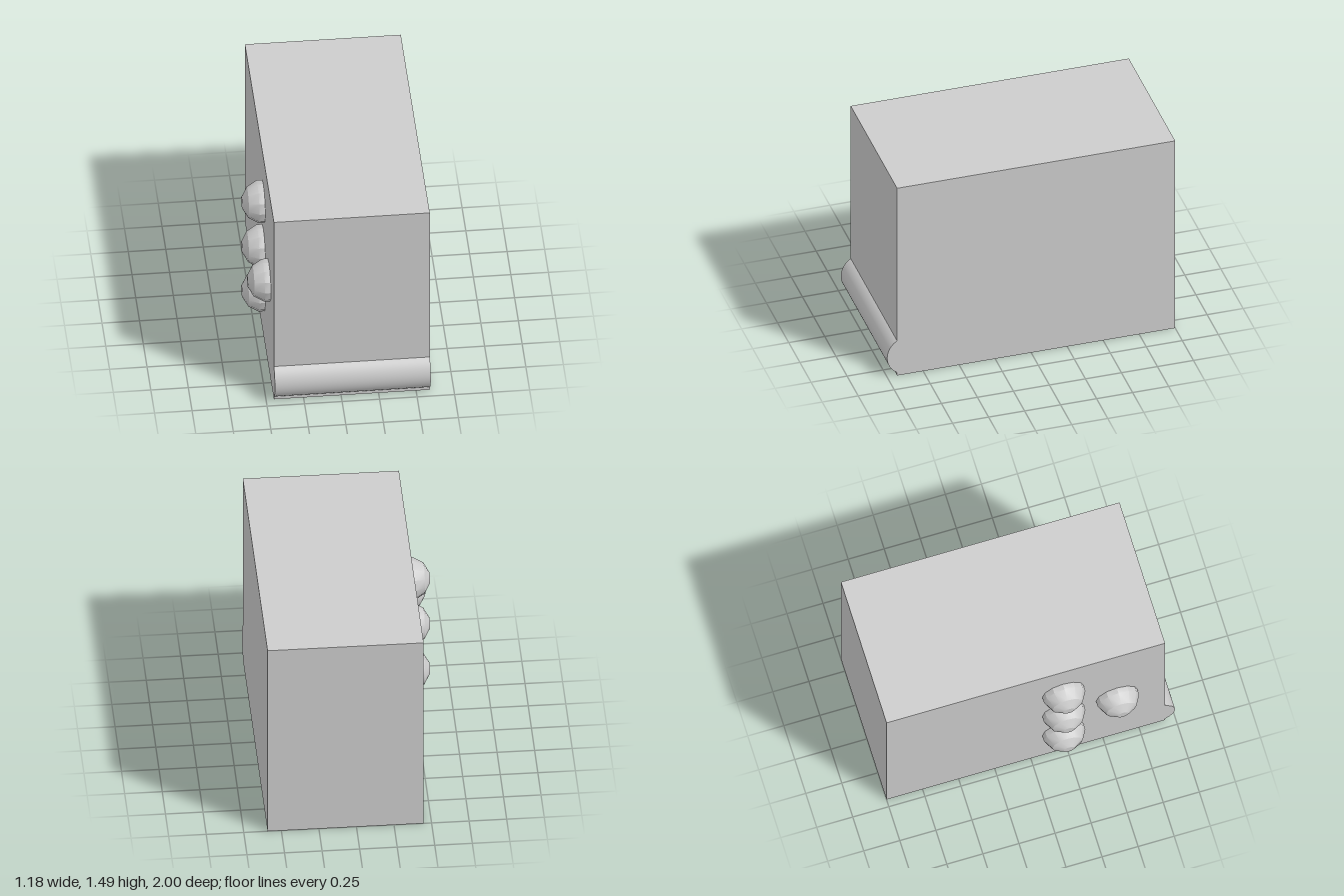
import * as THREE from 'three';
import { toCreasedNormals } from 'three/addons/utils/BufferGeometryUtils.js';

export function createModel() {
  const group = new THREE.Group();
  const grey = new THREE.MeshStandardMaterial({ color: 0xcccccc });
  grey.name = 'light grey';

  const add = (name, geometry, x, y, z) => {
    const mesh = new THREE.Mesh(geometry, grey);
    mesh.name = name;
    mesh.position.set(x, y, z);
    group.add(mesh);
    return mesh;
  };

  const W = 1.039, H = 1.487, D = 1.931, R = 0.1486;
  const side = -0.4475;          // x of the face carrying the knobs
  const midX = side + W / 2;

  // Main block
  add('body', new THREE.BoxGeometry(W, H, D), midX, H / 2, -1 + D / 2);

  // Round bar half sunk into the lower front edge
  const bar = new THREE.CylinderGeometry(R, R, W, 64);
  bar.rotateZ(Math.PI / 2);
  add('frontBar', bar, midX, 0.15, 1 - R);

  // Faceted dome with a flat tip, turned to point along -x
  const profile = [new THREE.Vector2(R * Math.cos(Math.PI / 12), 0)];
  for (const deg of [15, 45, 75]) {
    const a = THREE.MathUtils.degToRad(deg);
    profile.push(new THREE.Vector2(R * Math.cos(a), R * Math.sin(a)));
  }
  profile.push(new THREE.Vector2(0, profile[3].y));
  const lathe = new THREE.LatheGeometry(profile, 12);
  lathe.rotateZ(Math.PI / 2);
  const dome = toCreasedNormals(lathe, THREE.MathUtils.degToRad(29.9));

  // Column of three knobs, and one beside the middle
  const knobs = [[0.372, 0.223], [0.744, 0.223], [1.116, 0.223], [0.744, 0.596]];
  for (const [y, z] of knobs) add('knob', dome, side, y, z);

  return group;
}
